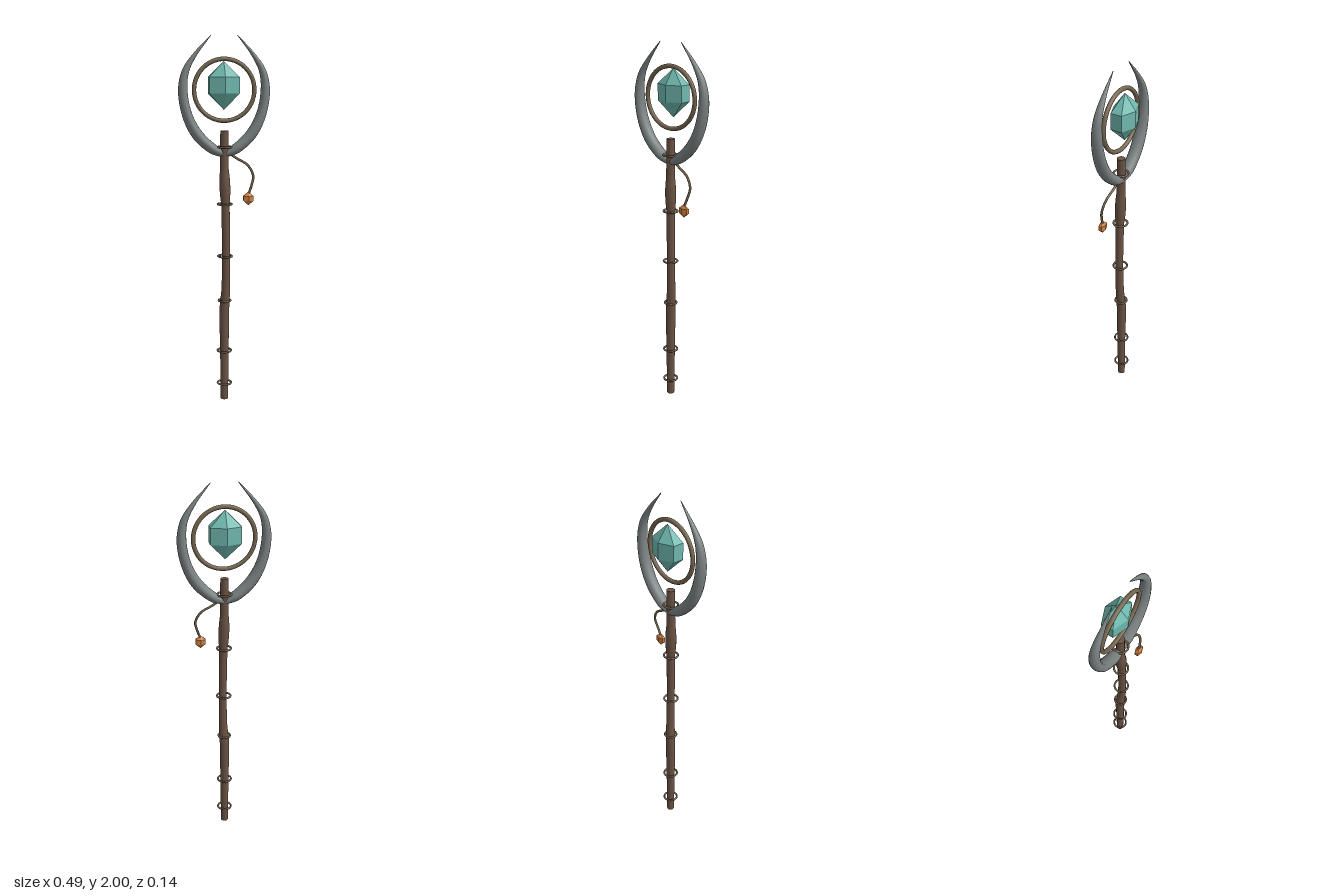
import * as THREE from 'three';

const DEPTH = 0.012; // depth of the staff axis
const WOOD = 0x6b5344, BRASS = 0x766650, STEEL = 0x7b8282, CRYSTAL = 0x6fb8ae, AMBER = 0xd08040;
const v = (p) => new THREE.Vector3(...p);

// Sweeps an ellipse along a smooth path; each row is [x, y, z, radius across, radius in z]
function sweep(rows, steps, sides) {
  const curve = new THREE.CatmullRomCurve3(rows.map(v3 => v(v3.slice(0, 3))));
  const radii = new THREE.CatmullRomCurve3(rows.map(r => new THREE.Vector3(r[3], r[4], 0)));
  const pos = [], index = [], zAxis = new THREE.Vector3(0, 0, 1);
  for (let i = 0; i <= steps; i++) {
    const t = i / steps, c = curve.getPoint(t), r = radii.getPoint(t);
    const n = zAxis.clone().cross(curve.getTangent(t)).normalize();
    for (let j = 0; j < sides; j++) {
      const a = j / sides * Math.PI * 2, k = Math.cos(a) * r.x;
      pos.push(c.x + n.x * k, c.y + n.y * k, c.z + Math.sin(a) * r.y);
      if (i === steps) continue;
      const p = i * sides + j, q = i * sides + (j + 1) % sides;
      index.push(p, q, q + sides, p, q + sides, p + sides);
    }
  }
  const g = new THREE.BufferGeometry();
  g.setAttribute('position', new THREE.Float32BufferAttribute(pos, 3));
  g.setIndex(index);
  g.computeVertexNormals();
  return g;
}

// Six-sided stone: pointed at both ends with a straight girdle
function stone(radiusX, radiusZ, top, shoulder, waist, bottom) {
  const profile = [[0, bottom], [1, waist], [1, shoulder], [0, top]].map(p => new THREE.Vector2(...p));
  const g = new THREE.LatheGeometry(profile, 6);
  return g.scale(radiusX / Math.cos(Math.PI / 6), 1, radiusZ);
}

export function createModel() {
  const group = new THREE.Group();
  const add = (name, geometry, color, flatShading = false) => {
    const mesh = new THREE.Mesh(geometry, new THREE.MeshStandardMaterial({ color, flatShading }));
    mesh.name = name;
    group.add(mesh);
    return mesh;
  };

  // Slightly crooked wooden shaft with flat ends
  const shaft = [
    [0, 0, 0.014, 0.021], [0, 0.28, 0.014, 0.024], [0, 0.52, 0.013, 0.027],
    [0.007, 0.64, 0.018, 0.024], [0.008, 0.85, 0.021, 0.022], [0.005, 1.11, 0.018, 0.023],
    [0, 1.3, 0.014, 0.023], [0, 1.505, 0.012, 0.022],
  ].map(r => [...r, r[3]]);
  add('shaft', sweep(shaft, 56, 16), WOOD);
  const cap = (name, row, turn) => {
    const mesh = add(name, new THREE.CircleGeometry(row[3], 16), WOOD);
    mesh.position.set(row[0], row[1], row[2]);
    mesh.rotation.x = turn;
  };
  cap('shaftBottom', shaft[0], Math.PI / 2);
  cap('shaftTop', shaft[shaft.length - 1], -Math.PI / 2);

  // Loose metal bands: x, y, z, ring radius
  [[0, 0.093, 0.014, 0.038], [0, 0.283, 0.014, 0.038], [0.001, 0.572, 0.015, 0.033],
    [0.003, 0.823, 0.018, 0.038], [0.002, 1.11, 0.016, 0.038], [0, 1.418, 0.014, 0.038],
  ].forEach(([x, y, z, r], i) => {
    const band = add('band' + (i + 1), new THREE.TorusGeometry(r, 0.0055, 8, 28), BRASS);
    band.rotation.x = Math.PI / 2;
    band.position.set(x, y, z);
  });

  // Pair of curved, tapering prongs
  for (const [name, s] of [['leftProng', 1], ['rightProng', -1]]) {
    const rows = [
      [-0.006, 1.374, 0.014, 0.018], [0.065, 1.41, 0.028, 0.033], [0.143, 1.482, 0.03, 0.0335],
      [0.197, 1.585, 0.027, 0.0335], [0.22, 1.715, 0.025, 0.029], [0.205, 1.815, 0.019, 0.022],
      [0.157, 1.897, 0.011, 0.013], [0.07, 2, 0.0015, 0.0015],
    ].map(([x, y, across, deep]) => [s * x, y, DEPTH, across, deep]);
    add(name, sweep(rows, 48, 16), STEEL);
  }

  // Hoop around the floating crystal
  const hoop = add('hoop', new THREE.TorusGeometry(0.161, 0.0115, 10, 56), BRASS);
  hoop.position.set(0, 1.718, DEPTH);
  const crystal = add('crystal', stone(0.081, 0.062, 0.127, 0.045, -0.042, -0.127), CRYSTAL, true);
  crystal.position.set(0, 1.741, -0.009);

  // Hanging cord with a small bead
  const cord = new THREE.CatmullRomCurve3([
    [0.01, 1.395, 0.012], [0.065, 1.358, 0.016], [0.125, 1.32, 0.024],
    [0.153, 1.265, 0.034], [0.142, 1.21, 0.045], [0.125, 1.165, 0.05],
  ].map(v));
  add('cord', new THREE.TubeGeometry(cord, 32, 0.0065, 8), BRASS);
  const bead = add('bead', stone(0.027, 0.018, 0.037, 0.014, -0.012, -0.037), AMBER, true);
  bead.position.set(0.125, 1.143, 0.05);

  return group;
}
